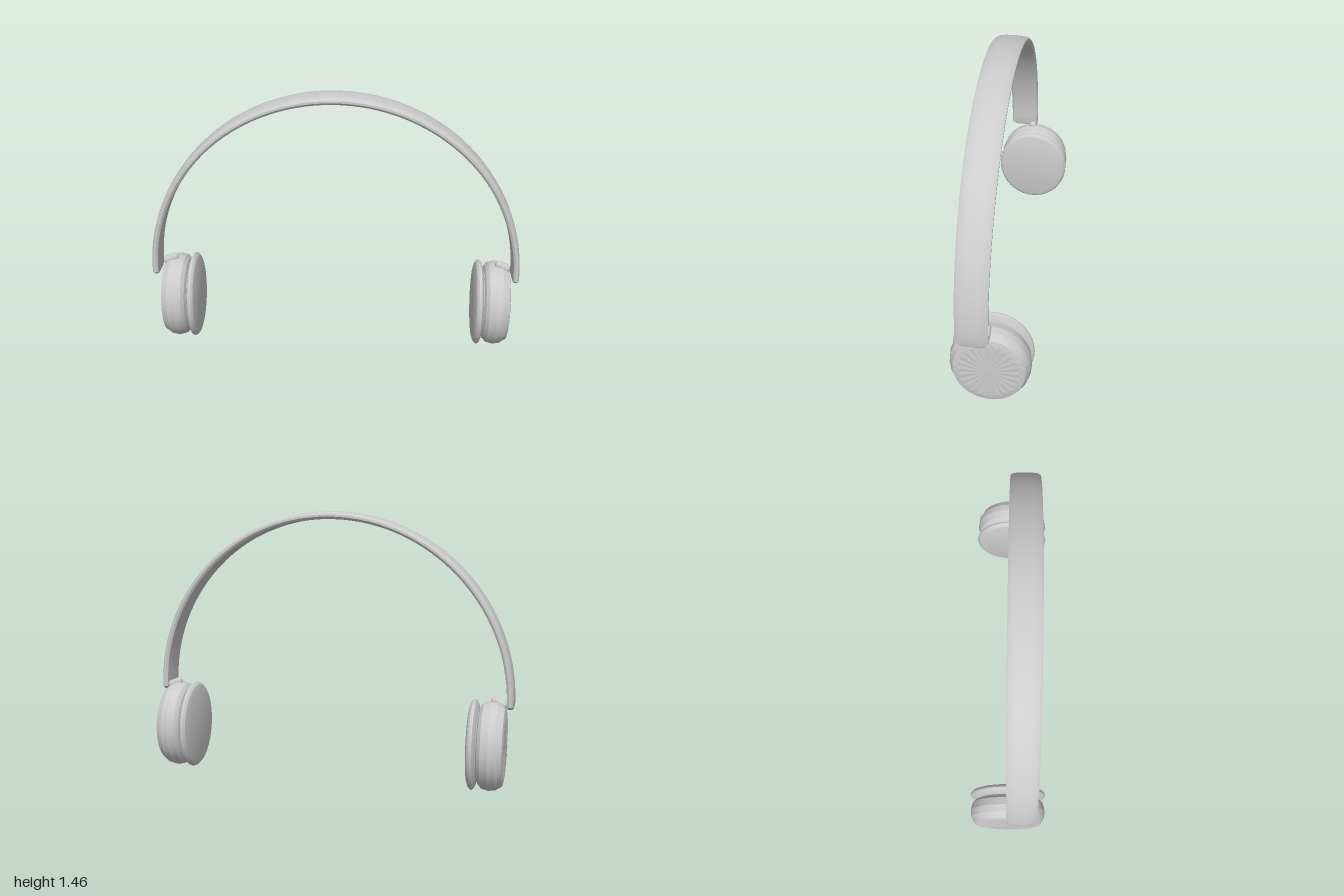
import * as THREE from 'three';
import { toCreasedNormals } from 'three/addons/utils/BufferGeometryUtils.js';

const grey = new THREE.MeshStandardMaterial({ color: 0xcccccc });
grey.name = 'light grey';

function part(name, geometry) {
  const mesh = new THREE.Mesh(geometry, grey);
  mesh.name = name;
  return mesh;
}

// Turned shape; profile points are [radius fraction, x]
const turned = (points, segments) =>
  new THREE.LatheGeometry(points.map(([r, x]) => new THREE.Vector2(r, x)), segments);

// Lay a turned shape along +x and squeeze it to the oval of the ear cups
function oval(g, crease) {
  g.rotateZ(-Math.PI / 2);
  g.scale(1, 0.244, 0.21);
  return toCreasedNormals(g, crease);
}

// Headband: thin crowned cross-section [radius, z] swept round a half circle
function headband() {
  const section = [
    [0.975, 0.160], [0.964, 0.151], [0.960, 0.120], [0.960, 0.030], [0.964, -0.001], [0.975, -0.010],
    [0.986, -0.010], [0.995, 0.003], [0.999, 0.035], [1.000, 0.075], [0.999, 0.115], [0.995, 0.147], [0.986, 0.160],
  ];
  const n = section.length, steps = 56, a0 = -0.006, a1 = Math.PI + 0.006;
  // Sweep rings, with a smaller ring at each end for the rounded tips
  const rings = [{ a: a0 - 0.015, s: 0.8 }];
  for (let i = 0; i <= steps; i++) rings.push({ a: a0 + (a1 - a0) * i / steps, s: 1 });
  rings.push({ a: a1 + 0.015, s: 0.8 });
  const pos = [], index = [];
  for (const { a, s } of rings) {
    const taper = s * (0.95 + 0.05 * Math.max(0, Math.sin(a)));
    for (const [r, z] of section) {
      const rr = 0.98 + (r - 0.98) * s;
      pos.push(rr * Math.cos(a), 0.468 + rr * Math.sin(a), 0.075 + (z - 0.075) * taper);
    }
  }
  for (let i = 0; i < rings.length - 1; i++) {
    for (let j = 0; j < n; j++) {
      const k = (j + 1) % n, a = i * n + j, b = i * n + k, c = a + n, d = b + n;
      index.push(a, c, b, b, c, d);
    }
  }
  // End caps
  const last = (rings.length - 1) * n;
  for (let j = 1; j < n - 1; j++) {
    index.push(0, j, j + 1);
    index.push(last, last + j + 1, last + j);
  }
  const g = new THREE.BufferGeometry();
  g.setAttribute('position', new THREE.Float32BufferAttribute(pos, 3));
  g.setIndex(index);
  return toCreasedNormals(g, 0.5);
}

// Slightly domed outer cover with a lightly pleated rim
function coverGeometry() {
  const sides = 48;
  const g = turned([[0.87, 0.956], [0.7, 0.964], [0, 0.966]], sides);
  const p = g.attributes.position;
  for (let v = 4; v < p.count; v += 6) {
    p.setXYZ(v, p.getX(v) * 1.12, p.getY(v) - 0.003, p.getZ(v) * 1.12);
  }
  return oval(g, 0.02);
}

export function createModel() {
  const group = new THREE.Group();
  group.name = 'headphones';
  group.add(part('headband', headband()));

  const shell = oval(turned([[0.78, 0.822], [0.87, 0.829], [0.95, 0.846], [0.99, 0.886],
    [0.965, 0.922], [0.87, 0.956]], 24), 0.3);
  const cover = coverGeometry();
  const neck = oval(turned([[0.78, 0.805], [0.78, 0.824]], 24), 0.4);
  const pad = oval(turned([[0, 0.771], [0.84, 0.771], [0.94, 0.778], [0.99, 0.789], [1, 0.796],
    [0.985, 0.804], [0.9, 0.814], [0.78, 0.82]], 40), 0.4);

  for (const side of [1, -1]) {
    const cup = new THREE.Group();
    cup.name = side > 0 ? 'leftEarCup' : 'rightEarCup';
    cup.position.y = 0.25;
    if (side < 0) cup.rotation.y = Math.PI;
    cup.add(part('shell', shell), part('cover', cover), part('neck', neck), part('earPad', pad));
    group.add(cup);

    // Short rounded arm joining the inside of the band tip to the cup
    const arm = part('hingeArm', new THREE.CapsuleGeometry(0.023, 0.045, 5, 12));
    arm.position.set(side * 0.922, 0.482, 0.014);
    arm.rotation.z = side * (Math.PI / 2 - 0.42);
    group.add(arm);
  }
  return group;
}
